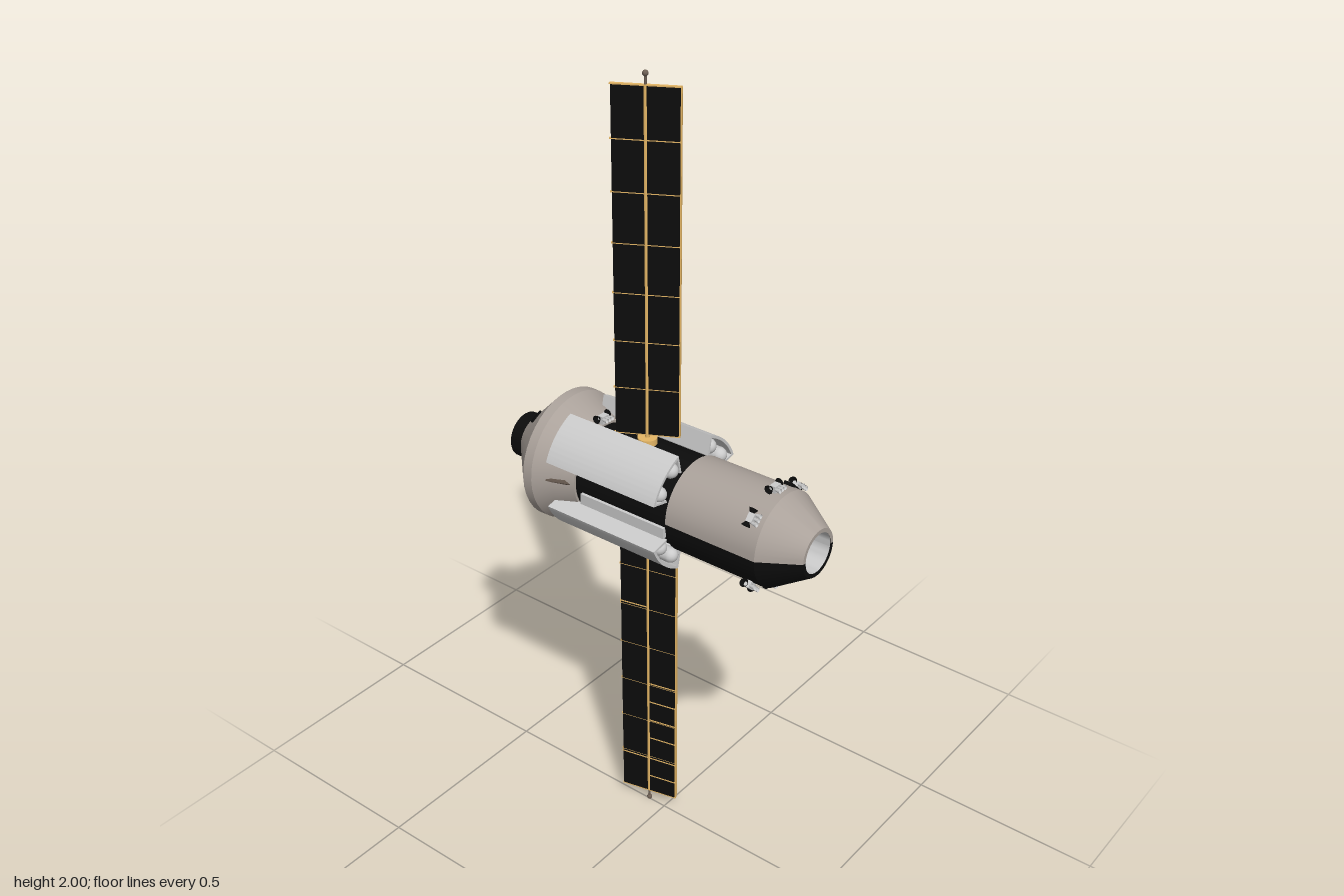
import * as THREE from 'three';
import { toCreasedNormals } from 'three/addons/utils/BufferGeometryUtils.js';

const mat = (color) => new THREE.MeshStandardMaterial({ color, side: THREE.DoubleSide });
const GREY = mat(0xcccccc), TAN = mat(0xaaa19a), BLACK = mat(0x0c0c0c);
const GOLD = mat(0xe6b766), PALE = mat(0xf2d898), BROWN = mat(0x6e6055);

function add(parent, name, geo, material, x = 0, y = 0, z = 0) {
  const m = new THREE.Mesh(geo, material);
  m.name = name;
  m.position.set(x, y, z);
  parent.add(m);
  return m;
}
const box = (w, h, d) => new THREE.BoxGeometry(w, h, d);

// Solid of revolution about z from [z, radius] pairs, z increasing
function turned(profile, start = 0, sweep = Math.PI * 2) {
  const pts = profile.map(([z, r]) => new THREE.Vector2(r, z));
  const g = new THREE.LatheGeometry(pts, sweep > 4 ? 40 : 20, start, sweep);
  return toCreasedNormals(g.rotateX(Math.PI / 2), 0.35);
}

// Small thruster block with flared nozzles; local +y points away from the hull
function thruster() {
  const g = new THREE.Group();
  g.name = 'thruster';
  add(g, 'thrusterBlock', box(0.022, 0.02, 0.016), GREY, 0, 0.006, 0);
  for (const s of [-1, 1]) {
    const side = add(g, 'sideNozzle', new THREE.CylinderGeometry(0.011, 0.004, 0.012, 10, 1, true), BLACK, s * 0.015, 0.01, -0.004);
    side.rotation.z = -s * Math.PI / 2;
  }
  for (const x of [-0.01, 0, 0.01]) {
    const nozzle = add(g, 'axialNozzle', new THREE.CylinderGeometry(0.006, 0.003, 0.014, 8, 1, true), GREY, x, 0.01, 0.014);
    nozzle.rotation.x = Math.PI / 2;
  }
  return g;
}

// Place an object on the hull at an angle measured from the top towards +x
function onHull(parent, obj, angle, r, z) {
  const pivot = new THREE.Group();
  pivot.name = obj.name + 'Mount';
  pivot.rotation.z = -angle;
  obj.position.set(0, r, z);
  pivot.add(obj);
  parent.add(pivot);
}

function createHull() {
  const hull = new THREE.Group();
  hull.name = 'hull';
  hull.position.y = 1;

  // Front section: light upper half, black lower half
  const front = [[0.09, 0.105], [0.095, 0.118], [0.345, 0.118], [0.437, 0.06], [0.437, 0.05]];
  add(hull, 'frontHullUpper', turned(front, Math.PI / 2, Math.PI), TAN);
  add(hull, 'frontHullLower', turned(front, -Math.PI / 2, Math.PI), BLACK);

  // Core, rear section, docking collar and open tunnel
  add(hull, 'core', turned([[-0.18, 0.112], [0.095, 0.112]]), BLACK);
  add(hull, 'rearHull', turned([[-0.18, 0.11], [-0.18, 0.118], [-0.235, 0.14], [-0.275, 0.165],
    [-0.3, 0.166], [-0.405, 0.06], [-0.405, 0.05]].reverse()), TAN);
  add(hull, 'dockingCollar', turned([[-0.44, 0.048], [-0.44, 0.058], [-0.4, 0.058]]), BLACK);
  add(hull, 'tunnel', turned([[-0.439, 0.048], [0.436, 0.05]]), GREY);

  // Four quadrant covers with a pair of round-ended tanks under each
  const a0 = 0.38, a1 = Math.PI / 2 - 0.38, R = 0.165, r = 0.158;
  const shell = new THREE.Shape();
  shell.absarc(0, 0, R, a0, a1, false);
  shell.lineTo(0.05, 0.104);
  shell.lineTo(0.057, 0.106);
  shell.absarc(0, 0, r, a1 - 0.04, a0 + 0.04, true);
  shell.lineTo(0.106, 0.057);
  shell.lineTo(0.104, 0.05);
  shell.closePath();
  const shellGeo = toCreasedNormals(
    new THREE.ExtrudeGeometry(shell, { depth: 0.325, bevelEnabled: false, curveSegments: 16 }), 0.4);
  const tankGeo = new THREE.CapsuleGeometry(0.019, 0.27, 6, 14).rotateX(Math.PI / 2);
  for (let q = 0; q < 4; q++) {
    const cover = new THREE.Group();
    cover.name = 'quadrantCover';
    cover.rotation.z = q * Math.PI / 2;
    add(cover, 'coverShell', shellGeo, GREY, 0, 0, -0.235);
    for (const a of [0.56, Math.PI / 2 - 0.56])
      add(cover, 'tank', tankGeo, GREY, Math.cos(a) * 0.136, Math.sin(a) * 0.136, -0.06);
    hull.add(cover);
  }

  // Side equipment rails in the gaps between covers
  for (const s of [-1, 1]) {
    add(hull, 'sideRail', box(0.012, 0.028, 0.25), GREY, s * 0.113, -0.028, -0.035);
    const horn = add(hull, 'sideHorn', new THREE.ConeGeometry(0.022, 0.06, 4), BROWN, s * 0.126, 0.005, -0.215);
    horn.rotation.x = Math.PI / 2;
  }

  // Thrusters on the nose and behind the covers
  for (const a of [0, Math.PI / 4, Math.PI * 0.75, Math.PI, -Math.PI * 0.75, -Math.PI / 4])
    onHull(hull, thruster(), a, 0.118, 0.315);
  onHull(hull, thruster(), 0, 0.124, -0.185);
  onHull(hull, thruster(), Math.PI, 0.124, -0.185);

  // Sensor strip, porthole and hatch marker
  const strip = new THREE.Group();
  strip.name = 'sensorStrip';
  add(strip, 'sensorPlate', box(0.074, 0.008, 0.023), BLACK);
  for (let i = 0; i < 4; i++) for (const z of [-0.005, 0.005])
    add(strip, 'sensorDot', box(0.004, 0.002, 0.004), GREY, -0.024 + i * 0.016, 0.005, z);
  onHull(hull, strip, 0.78, 0.117, 0.312);
  const port = new THREE.Group();
  port.name = 'porthole';
  const disc = add(port, 'portholeGlass', new THREE.CylinderGeometry(0.018, 0.018, 0.006, 20), BLACK);
  disc.rotation.x = -0.79;
  onHull(hull, port, -0.45, 0.106, -0.36);
  const marker = new THREE.Group();
  marker.name = 'hatchMarker';
  add(marker, 'markerPlate', box(0.014, 0.003, 0.016), GREY).rotation.x = -0.79;
  onHull(hull, marker, 0.32, 0.134, -0.332);
  return hull;
}

// One array hangs outwards along +y from its root at y = 0
function createArray(name, seed, gridded) {
  const g = new THREE.Group();
  g.name = name;
  const rand = () => (seed = (seed * 16807) % 2147483647) / 2147483647;
  const W = 0.154, L = 0.833, T = 0.008, n = 7, seg = L / n;
  for (let i = 0; i < n; i++) {
    const y = (i + 0.5) * seg;
    for (const s of [-1, 1])
      add(g, 'solarPanel', box(T, seg - 0.003, W / 2 - 0.005), BLACK, 0, y, s * W / 4);
    add(g, 'hingeBar', box(T * 0.6, 0.004, W + 0.003), GOLD, 0, i * seg, 0);
  }
  add(g, 'edgeStrip', box(T * 1.1, L, 0.003), GOLD, 0, L / 2, W / 2);
  add(g, 'endStrip', box(T, 0.003, W), GOLD, 0, L, 0);

  // Bright cells scattered over the leading half of the outer face
  const cell = box(0.0015, 0.016, 0.012);
  for (let row = 0; row < 40; row++) for (let col = 0; col < 4; col++) {
    const dense = gridded && row > 22;
    if (rand() < (dense ? 0.45 : col === 1 ? 0.3 : 0.07))
      add(g, 'brightCell', cell, PALE, T / 2, 0.02 + row * 0.0204, 0.017 + col * 0.016);
  }
  if (gridded) {
    for (const y of [0.47, 0.53, 0.59, 0.65, 0.72, 0.78])
      add(g, 'cellDivider', box(T + 0.002, 0.003, W / 2), GOLD, 0, y, W / 4);
    for (const y of [0.23, 0.72])
      add(g, 'cellDivider', box(T + 0.002, 0.003, W / 2), GOLD, 0, y, -W / 4);
  } else {
    for (const [y, z] of [[0.31, -0.05], [0.31, -0.065], [0.285, -0.065]])
      add(g, 'greyCell', cell, GREY, T / 2, y, z);
  }

  // Mast, tip and root hub
  add(g, 'mast', new THREE.CylinderGeometry(0.0055, 0.0055, L + 0.04, 10), GOLD, 0, L / 2 - 0.02, 0);
  add(g, 'mastTip', new THREE.CylinderGeometry(0.003, 0.003, 0.03, 8), BROWN, 0, L + 0.012, 0);
  add(g, 'mastCap', new THREE.SphereGeometry(0.007, 10, 8), BROWN, 0, L + 0.025, 0);
  add(g, 'rootHub', new THREE.CylinderGeometry(0.024, 0.024, 0.016, 24), GOLD, 0, -0.015, 0);
  return g;
}

export function createModel() {
  const model = new THREE.Group();
  model.name = 'spaceModule';
  model.add(createHull());

  const upper = createArray('upperSolarArray', 77, false);
  upper.position.set(0, 1.135, -0.05);
  upper.rotation.y = 0.49;
  model.add(upper);

  // Lower array is turned over, keeping its outer face towards +x
  const lower = createArray('lowerSolarArray', 4211, true);
  lower.scale.y = -1;
  lower.position.set(0, 0.87, -0.05);
  lower.rotation.y = 0.23;
  model.add(lower);
  return model;
}
